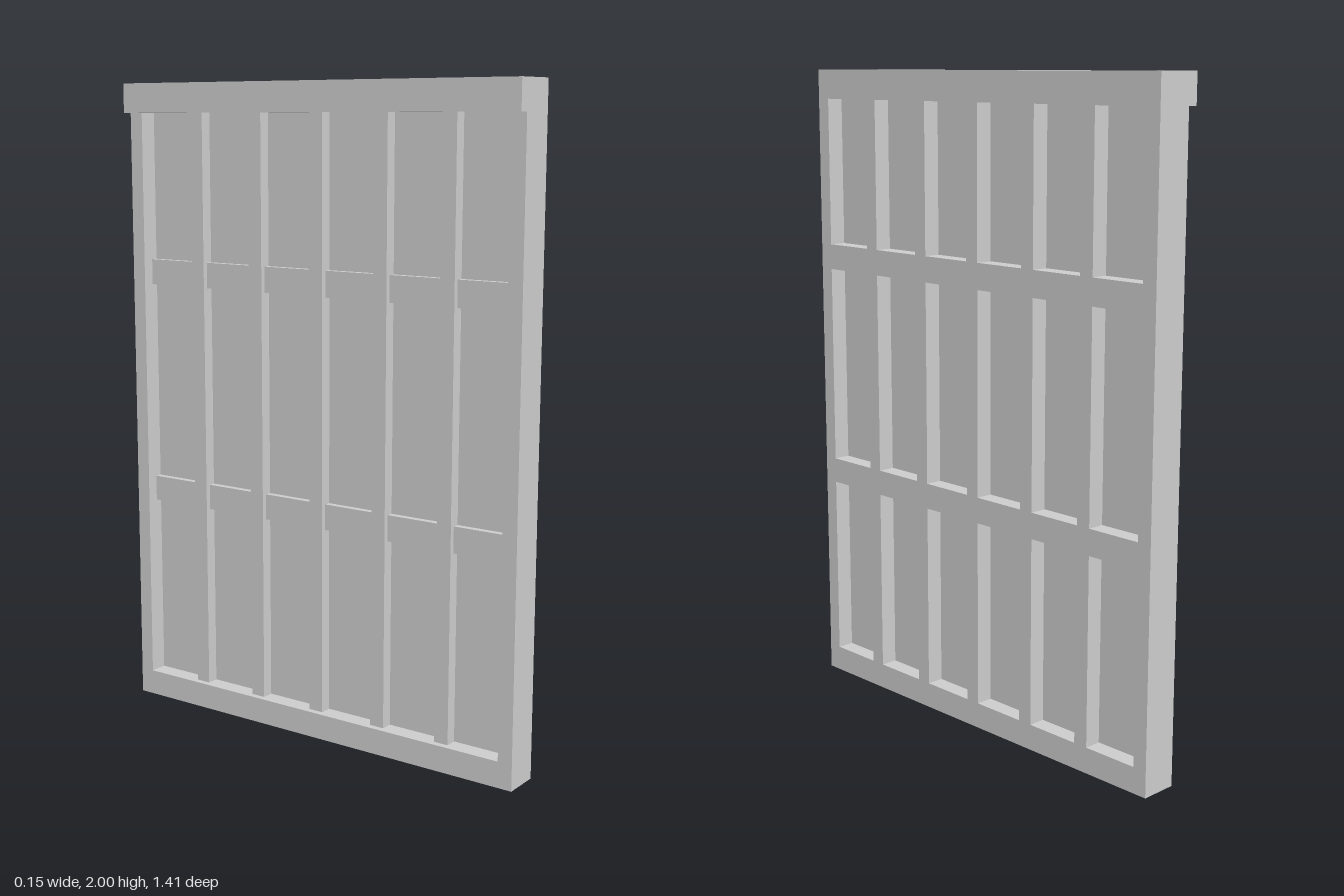
import * as THREE from 'three';

const H = 2, HALF = 0.705;            // height and half length (along z)
const FRONT = 0.073, BACK = -0.042;   // faces of the slab along x
const MID = 0.017;                    // plane of the thin infill
const BAYS = 6, PITCH = 0.2275, BAY = 0.18;
const OPEN = (PITCH * (BAYS - 1) + BAY) / 2;
const ROWS = [[0.08, 0.66], [0.74, 1.37], [1.45, 1.91]];

const material = new THREE.MeshStandardMaterial({ color: 0xcccccc, flatShading: true });

function rectPoints(Cls, x0, x1, y0, y1) {
  const r = new Cls();
  r.moveTo(x0, y0);
  r.lineTo(x1, y0);
  r.lineTo(x1, y1);
  r.lineTo(x0, y1);
  r.closePath();
  return r;
}

// Upright sheet with rectangular holes, filling xa..xb in thickness
function sheet(name, holes, xa, xb) {
  const shape = rectPoints(THREE.Shape, -HALF, HALF, 0, H);
  for (const h of holes) shape.holes.push(rectPoints(THREE.Path, ...h));
  const geo = new THREE.ExtrudeGeometry(shape, { depth: xb - xa, bevelEnabled: false });
  geo.rotateY(Math.PI / 2);
  geo.translate(xa, 0, 0);
  const mesh = new THREE.Mesh(geo, material);
  mesh.name = name;
  return mesh;
}

function block(name, x0, x1, y0, y1, z0, z1) {
  const mesh = new THREE.Mesh(new THREE.BoxGeometry(x1 - x0, y1 - y0, z1 - z0), material);
  mesh.position.set((x0 + x1) / 2, (y0 + y1) / 2, (z0 + z1) / 2);
  mesh.name = name;
  return mesh;
}

export function createModel() {
  const group = new THREE.Group();
  group.name = 'panelledDoor';
  const bottom = ROWS[0][0], top = ROWS[2][1];
  const bayStart = (i) => -OPEN + i * PITCH;

  // Front lattice: six bays by three rows
  const holes = [];
  for (let i = 0; i < BAYS; i++)
    for (const [y0, y1] of ROWS) holes.push([bayStart(i), bayStart(i) + BAY, y0, y1]);
  group.add(sheet('frontLattice', holes, MID, FRONT));

  // Back frame with one large opening
  group.add(sheet('backFrame', [[-OPEN, OPEN, bottom, top]], BACK, MID));

  // Thin infill closing the bays
  group.add(block('infillPanel', MID - 0.002, MID + 0.002, bottom, top, -OPEN, OPEN));

  // Back mullions, set in from the frame
  for (let i = 1; i < BAYS; i++)
    group.add(block('backMullion', -0.022, MID, bottom, top, bayStart(i) - (PITCH - BAY), bayStart(i)));

  // Back cross rails, shallower than the mullions
  for (let r = 0; r < 2; r++)
    for (let i = 0; i < BAYS; i++)
      group.add(block('backRail', -0.006, MID, ROWS[r][1], ROWS[r + 1][0], bayStart(i), bayStart(i) + BAY));

  // Header overhanging the back
  group.add(block('header', -FRONT, BACK, 1.91, H, -HALF, HALF));
  return group;
}
